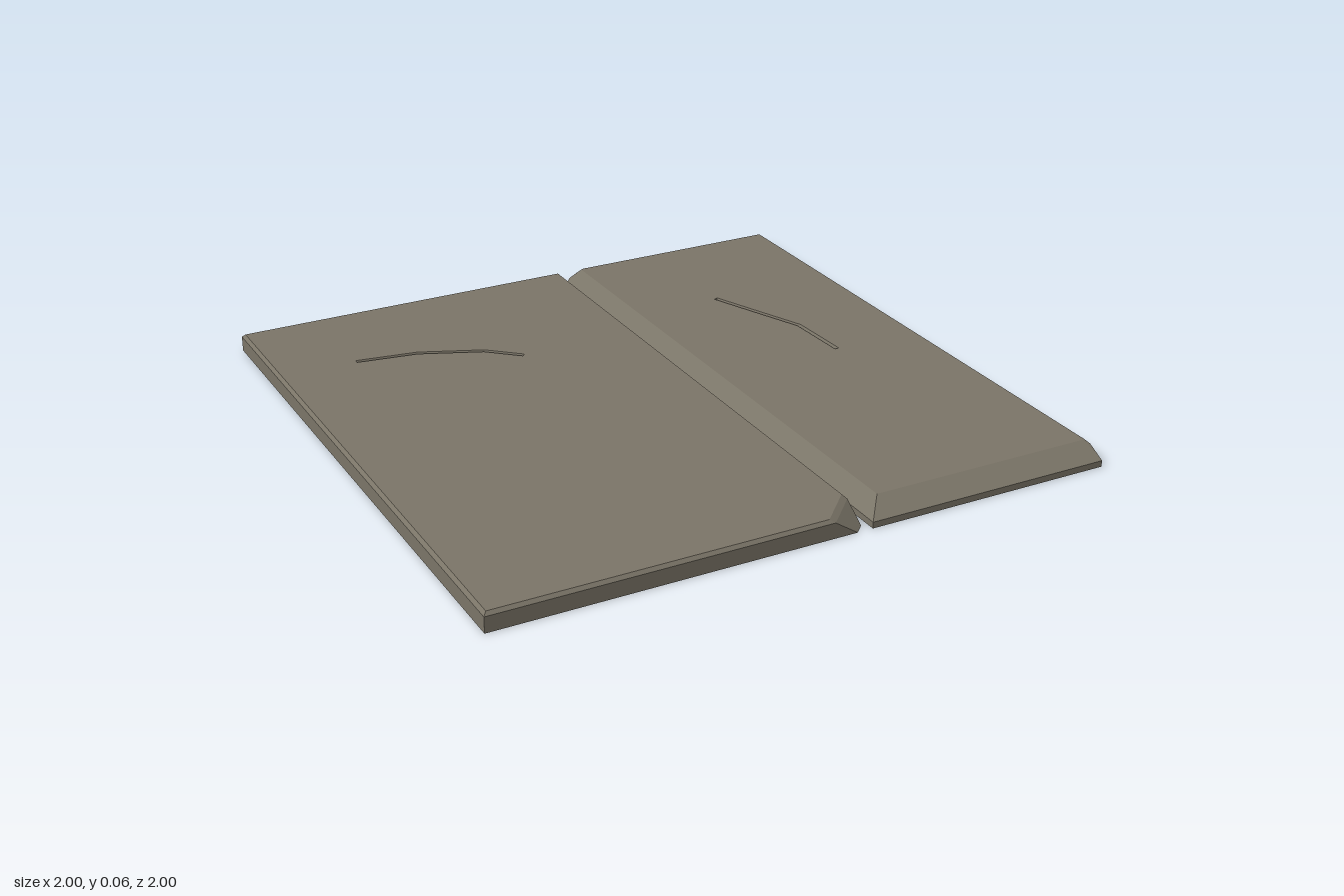
import * as THREE from 'three';

const stone = new THREE.MeshStandardMaterial({ color: 0x7a7467, side: THREE.DoubleSide });
stone.name = 'weathered stone';

const H = 0.06;

// Faceted skin through closed loops of [x, y, z] points
function loft(loops) {
  const pos = [];
  for (let k = 0; k < loops.length - 1; k++) {
    const lo = loops[k], hi = loops[k + 1];
    for (let i = 0; i < lo.length; i++) {
      const j = (i + 1) % lo.length;
      pos.push(...lo[i], ...hi[i], ...hi[j], ...lo[i], ...hi[j], ...lo[j]);
    }
  }
  const g = new THREE.BufferGeometry();
  g.setAttribute('position', new THREE.Float32BufferAttribute(pos, 3));
  g.computeVertexNormals();
  return g;
}

// Outline of a crack: both sides of a [x, z] path, with the matching groove bottom
function crackLoops(path, width, depth) {
  const left = [], right = [];
  path.forEach(([x, z], i) => {
    const a = path[Math.max(i - 1, 0)], b = path[Math.min(i + 1, path.length - 1)];
    const dx = b[0] - a[0], dz = b[1] - a[1], s = width / 2 / Math.hypot(dx, dz);
    left.push([x - dz * s, H, z + dx * s]);
    right.push([x + dz * s, H, z - dx * s]);
  });
  const bottom = path.map(([x, z]) => [x, H - depth, z]);
  return {
    rim: [...left, ...right.reverse()],
    floor: [...bottom, ...bottom.slice().reverse()],
  };
}

// Hollow slab: walls, worn edges, and a top face opened along the crack
function makeSlab(name, base, mid, top, crackPath) {
  const slab = new THREE.Group();
  slab.name = name;
  const add = (geometry, part) => {
    const mesh = new THREE.Mesh(geometry, stone);
    mesh.name = part;
    slab.add(mesh);
    return mesh;
  };
  const topLoop = top.map(([x, z]) => [x, H, z]);
  add(loft([
    base.map(([x, z]) => [x, 0, z]),
    mid.map(([x, y, z]) => [x, y, z]),
    topLoop,
  ]), 'slabSides');

  const crack = crackLoops(crackPath, 0.015, 0.015);
  const to2D = ([x, , z]) => new THREE.Vector2(x, -z);
  const shape = new THREE.Shape(topLoop.map(to2D));
  shape.holes.push(new THREE.Path(crack.rim.map(to2D)));
  const face = new THREE.ShapeGeometry(shape);
  face.rotateX(-Math.PI / 2);
  face.translate(0, H, 0);
  add(face, 'slabTop');
  add(loft([crack.floor, crack.rim]), 'crackGroove');
  return slab;
}

export function createModel() {
  const model = new THREE.Group();
  model.name = 'crackedPavingSlabs';

  // Wide slab with a chipped front corner
  model.add(makeSlab('wideSlab',
    [[-1, -1], [0.17, -1], [0.17, 0.97], [0.14, 1], [-1, 1]],
    [[-1, 0.05, -1], [0.17, 0.05, -1], [0.17, 0.05, 0.895], [0.065, 0.05, 1], [-1, 0.05, 1]],
    [[-0.99, -0.99], [0.16, -0.99], [0.16, 0.88], [0.05, 0.99], [-0.99, 0.99]],
    [[-0.74, -0.615], [-0.54, -0.585], [-0.34, -0.5], [-0.24, -0.41]]));

  // Narrow slab with worn inner and front edges
  model.add(makeSlab('narrowSlab',
    [[0.19, -0.98], [0.21, -1], [0.25, -1], [1, -1], [1, 0.93], [1, 1], [0.19, 1]],
    [[0.19, 0.02, -0.98], [0.21, 0.03, -1], [0.25, 0.05, -1], [1, 0.05, -1],
      [1, 0.05, 0.94], [1, 0.02, 1], [0.19, 0.02, 1]],
    [[0.25, -0.97], [0.25, -0.985], [0.26, -0.99], [0.99, -0.99],
      [0.99, 0.92], [0.985, 0.925], [0.25, 0.925]],
    [[0.545, -0.53], [0.61, -0.37], [0.68, -0.2], [0.69, 0.02]]));

  return model;
}
